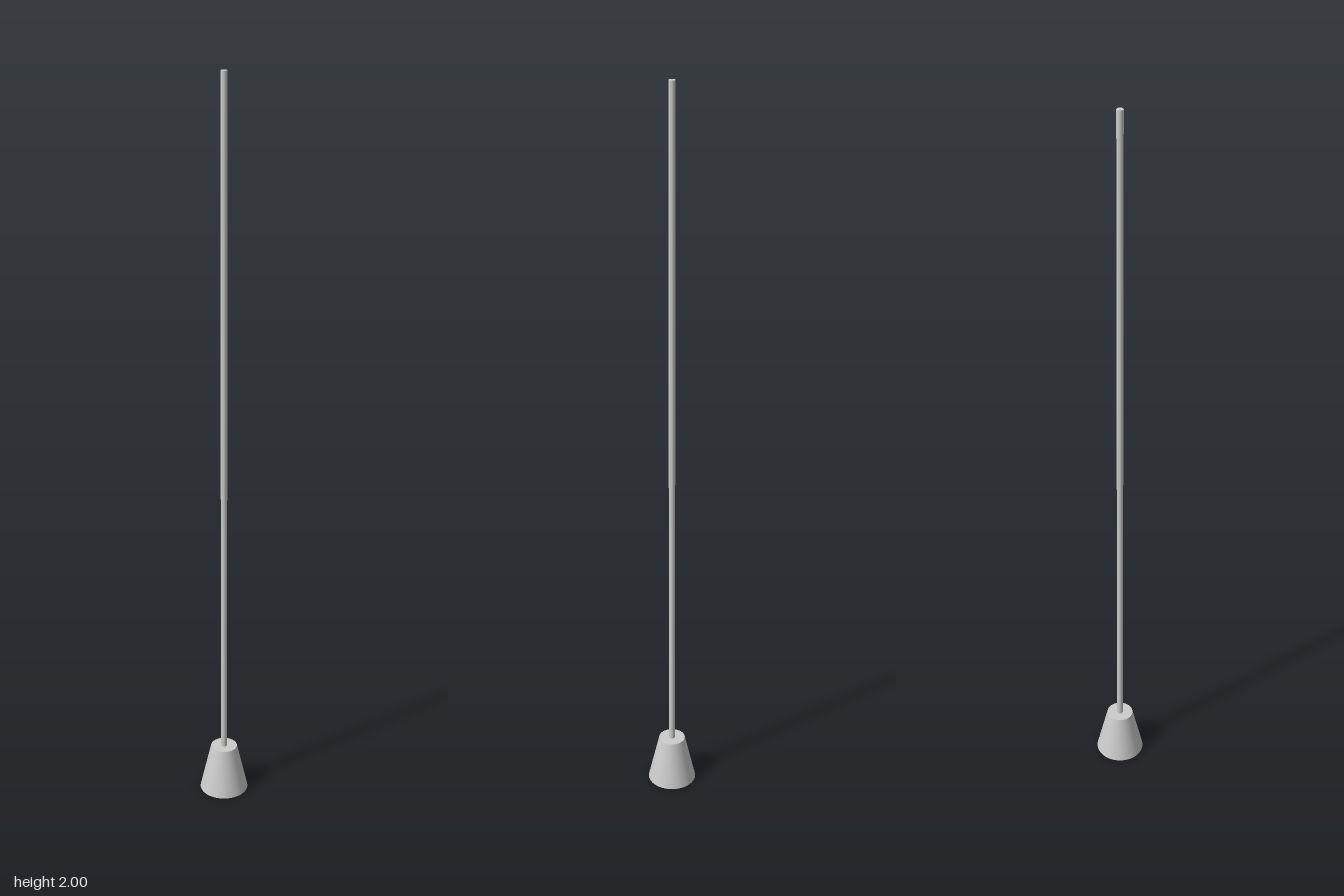
import * as THREE from 'three';

const SHADE_HEIGHT = 0.133;
const SHADE_TOP = 0.036;
const SHADE_BOTTOM = 0.066;
const ROD_RADIUS = 0.0085;
const HEIGHT = 2;

export function createModel() {
  const solid = new THREE.MeshStandardMaterial({ color: 0xcccccc });
  const thin = new THREE.MeshStandardMaterial({ color: 0xcccccc, side: THREE.DoubleSide });

  const model = new THREE.Group();
  model.name = 'pendantLamp';

  const add = (parent, name, geometry, material, y) => {
    const mesh = new THREE.Mesh(geometry, material);
    mesh.name = name;
    mesh.position.y = y;
    parent.add(mesh);
  };

  // Thin tapered shade, open at the bottom and closed by a flat disc on top
  const shade = new THREE.Group();
  shade.name = 'shade';
  model.add(shade);
  add(shade, 'shadeWall',
    new THREE.CylinderGeometry(SHADE_TOP, SHADE_BOTTOM, SHADE_HEIGHT, 64, 1, true),
    thin, SHADE_HEIGHT / 2);
  add(shade, 'shadeTop',
    new THREE.CircleGeometry(SHADE_TOP, 64).rotateX(-Math.PI / 2),
    thin, SHADE_HEIGHT);

  // Long hanging rod rising from the shade
  const rodLength = HEIGHT - SHADE_HEIGHT;
  add(model, 'rod',
    new THREE.CylinderGeometry(ROD_RADIUS, ROD_RADIUS, rodLength, 32),
    solid, SHADE_HEIGHT + rodLength / 2);

  return model;
}
